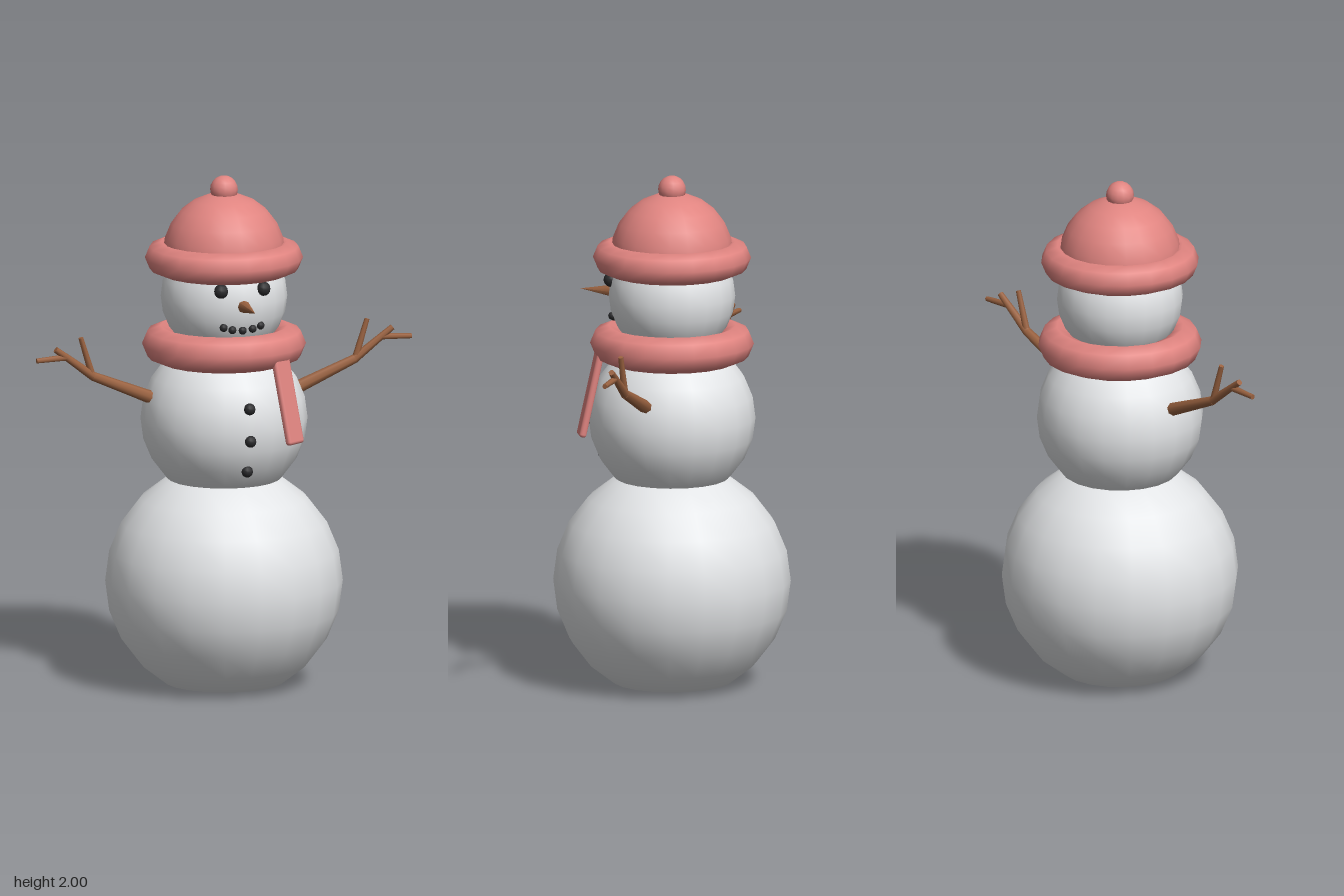
import * as THREE from 'three';
import { mergeVertices } from 'three/addons/utils/BufferGeometryUtils.js';
import { RoundedBoxGeometry } from 'three/addons/geometries/RoundedBoxGeometry.js';

const material = (name, color) => {
  const m = new THREE.MeshStandardMaterial({ color });
  m.name = name;
  return m;
};

export function createModel() {
  const model = new THREE.Group();
  model.name = 'snowman';
  const snow = material('snow white', 0xe2e4e6);
  const wool = material('wool pink', 0xe08480);
  const wood = material('wood brown', 0x9a6240);
  const coal = material('coal black', 0x2b2b2d);

  function add(name, geometry, mat, x = 0, y = 0, z = 0, parent = model) {
    const mesh = new THREE.Mesh(geometry, mat);
    mesh.name = name;
    mesh.position.set(x, y, z);
    parent.add(mesh);
    return mesh;
  }
  const ball = (r) => new THREE.SphereGeometry(r, 20, 12);

  // Snow body; the lowest ball is pressed flat on the ground
  const baseY = 0.41;
  let base = ball(0.458);
  const p = base.attributes.position;
  for (let i = 0; i < p.count; i++) p.setY(i, Math.max(p.getY(i), -baseY));
  base.deleteAttribute('uv');
  base.deleteAttribute('normal');
  base = mergeVertices(base);
  base.computeVertexNormals();
  add('lowerBody', base, snow, 0, baseY);
  const bodyY = 1.05, bodyR = 0.322;
  add('upperBody', ball(bodyR), snow, 0, bodyY);
  const headY = 1.53, headR = 0.244;
  add('head', ball(headR), snow, 0, headY);

  // Coal pieces resting on the surface of a ball
  function addCoal(name, r, x, y, centreY, ballR) {
    const z = Math.sqrt(ballR * ballR - x * x - (y - centreY) ** 2);
    add(name, new THREE.SphereGeometry(r, 10, 8), coal, x, y, z);
  }
  for (const s of [-1, 1]) addCoal('eye', 0.028, s * 0.086, 1.592, headY, headR);
  for (const [x, y] of [[-0.075, 1.448], [-0.041, 1.438], [0, 1.434], [0.041, 1.438], [0.075, 1.448]])
    addCoal('mouthPebble', 0.016, x, y, headY, headR);
  for (const y of [1.14, 1.015, 0.89]) addCoal('button', 0.023, 0, y, bodyY, bodyR);

  // Nose
  const nose = new THREE.ConeGeometry(0.029, 0.16, 8);
  nose.rotateX(Math.PI / 2);
  add('nose', nose, wood, 0, headY, 0.295);

  // Hat
  const ring = (r, tube) => new THREE.TorusGeometry(r, tube, 8, 20).rotateX(Math.PI / 2);
  add('hatDome', new THREE.SphereGeometry(0.236, 20, 6, 0, Math.PI * 2, 0, Math.PI / 2), wool, 0, 1.697);
  add('hatBrim', ring(0.243, 0.062), wool, 0, 1.68);
  add('hatPompom', new THREE.SphereGeometry(0.054, 14, 10), wool, 0, 1.946);

  // Scarf with one hanging end
  add('scarf', ring(0.245, 0.071), wool, 0, 1.342);
  const top = new THREE.Vector3(0.146, 1.32, 0.243);
  const bottom = new THREE.Vector3(0.187, 0.99, 0.305);
  const up = top.clone().sub(bottom);
  const tail = add('scarfEnd', new RoundedBoxGeometry(0.085, up.length(), 0.028, 2, 0.012), wool);
  tail.position.copy(top).add(bottom).multiplyScalar(0.5);
  up.normalize();
  const yaw = 0.49;
  const side = new THREE.Vector3(Math.cos(yaw), 0, -Math.sin(yaw));
  side.addScaledVector(up, -side.dot(up)).normalize();
  tail.quaternion.setFromRotationMatrix(
    new THREE.Matrix4().makeBasis(side, up, side.clone().cross(up)));

  // Stick arms: [x1, y1, x2, y2, start radius, end radius]
  const sticks = [
    [0.27, 1.136, 0.534, 1.246, 0.027, 0.018],
    [0.527, 1.242, 0.685, 1.36, 0.018, 0.012],
    [0.534, 1.246, 0.582, 1.4, 0.014, 0.01],
    [0.64, 1.326, 0.762, 1.32, 0.013, 0.01],
  ];
  for (const s of [-1, 1]) {
    const arm = new THREE.Group();
    arm.name = s > 0 ? 'leftArm' : 'rightArm';
    model.add(arm);
    for (const [x1, y1, x2, y2, r1, r2] of sticks) {
      const dx = s * (x2 - x1), dy = y2 - y1;
      const stick = add('stick', new THREE.CylinderGeometry(r2, r1, Math.hypot(dx, dy), 7),
        wood, s * (x1 + x2) / 2, (y1 + y2) / 2, 0, arm);
      stick.rotation.z = Math.atan2(dy, dx) - Math.PI / 2;
    }
  }
  return model;
}
